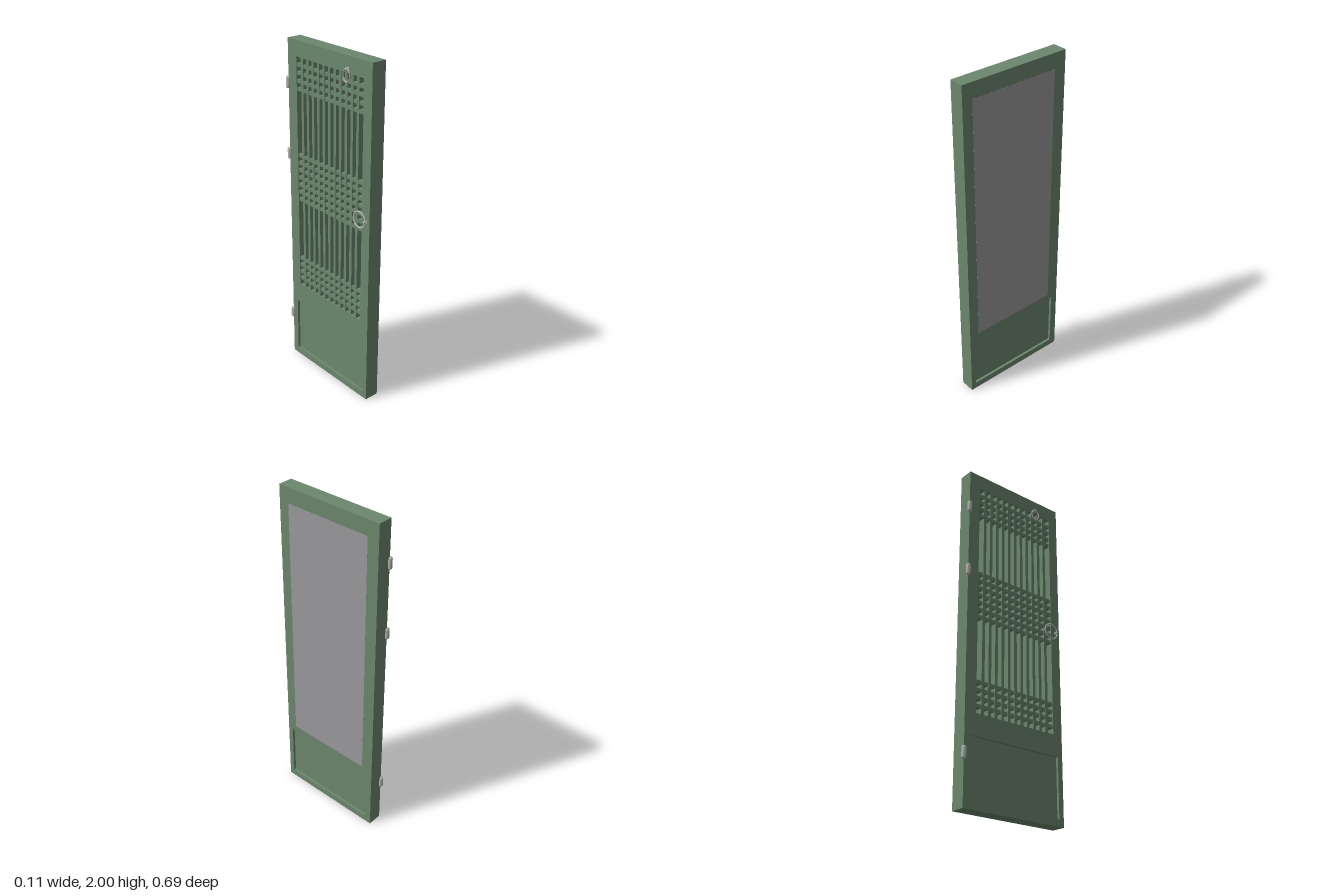
import * as THREE from 'three';

const flat = (name, color, extra = {}) => Object.assign(new THREE.MeshStandardMaterial({ color, ...extra }), { name });

export function createModel() {
  const green = flat('green paint', 0x6c876e);
  const paper = flat('grey paper', 0x9a999b);
  const metal = flat('metal', 0xb8b8b4);
  const door = new THREE.Group();
  door.name = 'latticeDoor';

  const add = (name, geometry, material, x, y, z, parent = door) => {
    const mesh = new THREE.Mesh(geometry, material);
    mesh.name = name;
    mesh.position.set(x, y, z);
    parent.add(mesh);
    return mesh;
  };
  const group = (name) => {
    const g = new THREE.Group();
    g.name = name;
    door.add(g);
    return g;
  };

  // Main faces of the slab and its openings
  const xBack = -0.035, xFront = 0.052;
  const z0 = -0.332, z1 = 0.342;
  const open = { z0: -0.26, z1: 0.28, y0: 0.51, y1: 1.91 };
  const panel = { z0: -0.29, z1: 0.31, y0: 0.04, y1: 0.385 };

  // Frame drawn in z and y, then extruded through the thickness
  const rect = (path, a, b, c, d) => path.moveTo(a, c).lineTo(b, c).lineTo(b, d).lineTo(a, d).closePath() ?? path;
  const outline = new THREE.Shape();
  rect(outline, z0, z1, 0, 2);
  for (const o of [open, panel]) {
    const hole = new THREE.Path();
    rect(hole, o.z0, o.z1, o.y0, o.y1);
    outline.holes.push(hole);
  }
  const frameGeo = new THREE.ExtrudeGeometry(outline, { depth: xFront - xBack, bevelEnabled: false });
  add('frame', frameGeo, green, xFront, 0, 0).rotation.y = -Math.PI / 2;

  // Recessed lower panel
  add('lowerPanel', new THREE.BoxGeometry(0.057, panel.y1 - panel.y0, panel.z1 - panel.z0), green,
    0.0085, (panel.y0 + panel.y1) / 2, 0.01);

  // Paper sheet backing the lattice, reaching below the opening
  add('paperSheet', new THREE.BoxGeometry(0.007, 1.49, 0.54), paper, 0.049, 1.165, 0.01);

  // Lattice: upright bars and three bands of crossbars
  const lattice = group('lattice');
  const cells = 12, pitch = (open.z1 - open.z0) / cells, bar = 0.019;
  const midY = (open.y0 + open.y1) / 2;
  const upright = new THREE.BoxGeometry(0.055, open.y1 - open.y0, bar);
  for (let i = 1; i < cells; i++) add('uprightBar', upright, green, -0.005, midY, open.z0 + i * pitch, lattice);
  const cross = new THREE.BoxGeometry(0.053, bar, open.z1 - open.z0);
  const levels = [];
  for (let i = 1; i <= 4; i++) levels.push(open.y1 - i * pitch, open.y0 + i * pitch);
  for (let i = -3; i <= 3; i++) levels.push(midY + i * pitch);
  for (const y of levels) add('crossBar', cross, green, -0.005, y, 0.01, lattice);

  // Hinge barrels with domed ends
  const hingeProfile = [[0, -0.036], [0.006, -0.035], [0.011, -0.031], [0.0135, -0.025],
    [0.0135, 0.025], [0.011, 0.031], [0.006, 0.035], [0, 0.036]].map(([r, y]) => new THREE.Vector2(r, y));
  const hingeGeo = new THREE.LatheGeometry(hingeProfile, 20);
  for (const y of [0.285, 1.34, 1.755]) add('hinge', hingeGeo, metal, -0.036, y, -0.332);

  // Ring pulls, each held by a post with a rose and a round knob
  const ringPull = (name, ringY, ringZ, postY, postZ, ry, rz) => {
    const g = group(name);
    const ring = add('ring', new THREE.TorusGeometry(0.046, 0.0045, 10, 40), metal, -0.045, ringY, ringZ, g);
    ring.rotation.y = Math.PI / 2;
    ring.scale.set(rz / 0.05, ry / 0.05, 1);
    add('post', new THREE.CylinderGeometry(0.005, 0.005, 0.016, 16), metal, -0.042, postY, postZ, g).rotation.z = Math.PI / 2;
    add('rose', new THREE.CylinderGeometry(0.011, 0.011, 0.003, 20), metal, -0.0355, postY, postZ, g).rotation.z = Math.PI / 2;
    add('knob', new THREE.SphereGeometry(0.008, 16, 12), metal, -0.046, postY, postZ, g);
  };
  ringPull('handleRing', 1.14, 0.273, 1.14, 0.315, 0.05, 0.05);
  ringPull('upperRing', 1.9, 0.161, 1.933, 0.161, 0.038, 0.028);

  return door;
}
